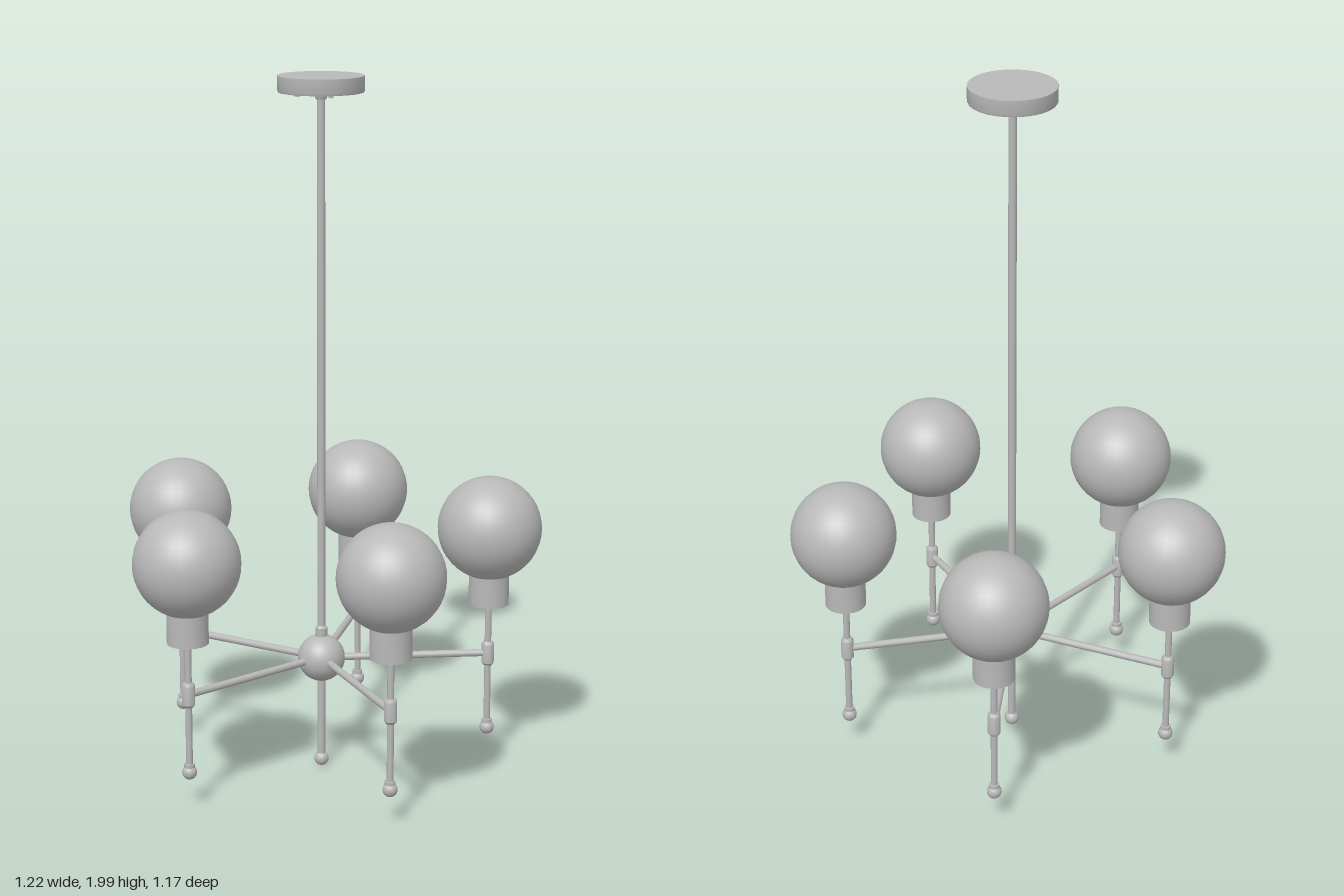
import * as THREE from 'three';
import { toCreasedNormals } from 'three/addons/utils/BufferGeometryUtils.js';

export function createModel() {
  const model = new THREE.Group();
  model.name = 'globeChandelier';
  const metal = new THREE.MeshStandardMaterial({ color: 0xb8b8b8 });
  metal.name = 'satinGrey';

  const add = (parent, name, geometry, x = 0, y = 0, z = 0) => {
    const mesh = new THREE.Mesh(geometry, metal);
    mesh.name = name;
    mesh.position.set(x, y, z);
    parent.add(mesh);
    return mesh;
  };
  // Turned part from [radius, height] pairs, listed bottom to top
  const turned = (points, sides = 20) => toCreasedNormals(
    new THREE.LatheGeometry(points.map(([r, y]) => new THREE.Vector2(r, y)), sides), 0.6);
  const rod = (radius, length) => new THREE.CylinderGeometry(radius, radius, length, 12);

  const armY = 0.335;
  const armReach = 0.483;
  const body = new THREE.Group();
  body.name = 'chandelierBody';
  body.position.z = -0.046;
  model.add(body);

  // Ceiling canopy with a recessed underside and small screws
  add(body, 'canopy', turned([
    [0, 1.962], [0.085, 1.962], [0.09, 1.955], [0.118, 1.955], [0.12, 1.96], [0.12, 2], [0, 2],
  ], 28));
  for (let i = 0; i < 4; i++) {
    const a = i * Math.PI / 2;
    add(body, 'canopyScrew', rod(0.007, 0.018), 0.07 * Math.cos(a), 1.954, 0.07 * Math.sin(a));
  }

  // Central stem, hub and lower finial
  add(body, 'stemCollar', turned([[0, 1.935], [0.014, 1.935], [0.018, 1.945], [0.018, 1.965], [0, 1.965]]));
  add(body, 'stem', rod(0.0115, 1.91), 0, 0.99, 0);
  add(body, 'hubCollar', turned([[0, 0.39], [0.017, 0.39], [0.017, 0.425], [0.011, 0.432], [0, 0.432]]));
  add(body, 'hub', new THREE.SphereGeometry(0.068, 24, 16), 0, armY, 0);
  add(body, 'stemFinial', new THREE.SphereGeometry(0.021, 16, 12), 0, 0.027, 0);

  // Shared shapes of the lamps
  const armShape = rod(0.0105, armReach).rotateX(Math.PI / 2);
  const postShape = rod(0.0095, 0.38);
  const collarShape = turned([
    [0, 0.299], [0.013, 0.299], [0.018, 0.306], [0.018, 0.362], [0.013, 0.37], [0, 0.37],
  ]);
  const neckShape = turned([[0, 0.474], [0.013, 0.474], [0.016, 0.487], [0, 0.487]]);
  const finialShape = new THREE.SphereGeometry(0.021, 16, 12);
  const finialNeckShape = turned([[0, 0.12], [0.015, 0.12], [0.015, 0.133], [0, 0.133]]);
  const cupShape = turned([[0, 0.485], [0.058, 0.485], [0.058, 0.575], [0, 0.575]], 24);
  const globeShape = new THREE.SphereGeometry(0.149, 32, 22);

  // Five arms, the first pointing to the front
  for (let i = 0; i < 5; i++) {
    const lamp = new THREE.Group();
    lamp.name = 'lampArm' + (i + 1);
    lamp.rotation.y = i * Math.PI * 2 / 5;
    body.add(lamp);
    add(lamp, 'arm', armShape, 0, armY, armReach / 2);
    add(lamp, 'post', postShape, 0, 0.3, armReach);
    add(lamp, 'armCollar', collarShape, 0, 0, armReach);
    add(lamp, 'cupNeck', neckShape, 0, 0, armReach);
    add(lamp, 'finialNeck', finialNeckShape, 0, 0, armReach);
    add(lamp, 'finial', finialShape, 0, 0.108, armReach);
    add(lamp, 'lampCup', cupShape, 0, 0, armReach);
    add(lamp, 'globe', globeShape, 0, 0.71, armReach);
  }
  return model;
}
